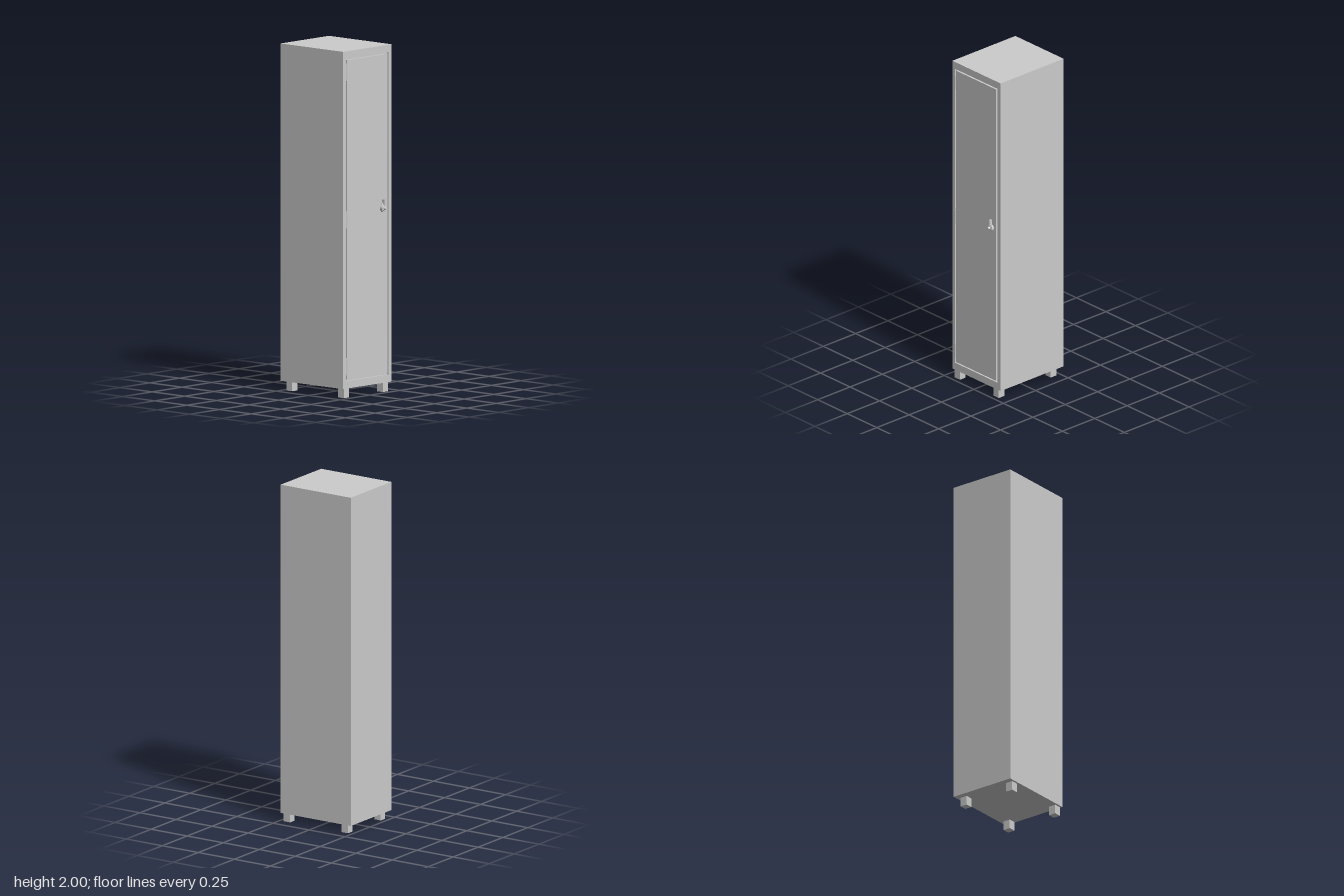
import * as THREE from 'three';

const material = new THREE.MeshStandardMaterial({ color: 0xcccccc });
const FRONT = 0.229, BACK = -0.258, HALF = 0.204, BOTTOM = 0.054, TOP = 2;

function add(parent, name, geometry, x = 0, y = 0, z = 0) {
  const mesh = new THREE.Mesh(geometry, material);
  mesh.name = name;
  mesh.position.set(x, y, z);
  parent.add(mesh);
  return mesh;
}

// Rectangle outline from its edges
function rect(Kind, x0, x1, y0, y1) {
  return new Kind([[x0, y0], [x1, y0], [x1, y1], [x0, y1]].map(p => new THREE.Vector2(...p)));
}

export function createModel() {
  const locker = new THREE.Group();
  locker.name = 'locker';

  // Cabinet box, stopping behind the front frame
  const frameDepth = 0.012;
  const depth = FRONT - frameDepth - BACK;
  add(locker, 'cabinet', new THREE.BoxGeometry(HALF * 2, TOP - BOTTOM, depth),
    0, (TOP + BOTTOM) / 2, BACK + depth / 2);

  // Front frame with the door opening
  const frame = rect(THREE.Shape, -HALF, HALF, BOTTOM, TOP);
  frame.holes.push(rect(THREE.Path, -0.181, 0.176, 0.098, 1.957));
  add(locker, 'frontFrame', new THREE.ExtrudeGeometry(frame, { depth: frameDepth, bevelEnabled: false }),
    0, 0, FRONT - frameDepth);

  // Door, set in the opening with a narrow gap all round
  const door = rect(THREE.Shape, -0.173, 0.168, 0.106, 1.949);
  add(locker, 'door', new THREE.ExtrudeGeometry(door, { depth: frameDepth + 0.001, bevelEnabled: false }),
    0, 0, FRONT - frameDepth);

  // Three hinge barrels, each with end pins
  for (const y of [0.18, 1.03, 1.88]) {
    const hinge = new THREE.Group();
    hinge.name = 'hinge';
    hinge.position.set(-0.177, y, 0.23);
    add(hinge, 'hingeBarrel', new THREE.CylinderGeometry(0.005, 0.005, 0.08, 12));
    for (const s of [-1, 1]) add(hinge, 'hingePin', new THREE.CylinderGeometry(0.0035, 0.0035, 0.01, 12), 0, s * 0.045, 0);
    locker.add(hinge);
  }

  // Padlock: hasp, shackle, round body and tapered dial
  const lock = new THREE.Group();
  lock.name = 'padlock';
  lock.position.set(0.127, 1.064, FRONT);
  add(lock, 'hasp', new THREE.BoxGeometry(0.008, 0.034, 0.02), 0, 0.033, 0.01);
  const arch = new THREE.TorusGeometry(0.013, 0.0028, 8, 20, Math.PI);
  add(lock, 'shackle', arch, 0, 0.019, 0.009);
  const disc = (name, rFront, rBack, length, z) =>
    add(lock, name, new THREE.CylinderGeometry(rFront, rBack, length, 28).rotateX(Math.PI / 2), 0, 0, z);
  disc('lockBody', 0.023, 0.023, 0.014, 0.009);
  disc('dialRing', 0.016, 0.018, 0.003, 0.0175);
  disc('dialKnob', 0.007, 0.011, 0.01, 0.023);
  locker.add(lock);

  // Four square feet
  for (const x of [-0.169, 0.159])
    for (const z of [-0.201, 0.201])
      add(locker, 'foot', new THREE.BoxGeometry(0.044, BOTTOM, 0.044), x, BOTTOM / 2, z);

  return locker;
}
